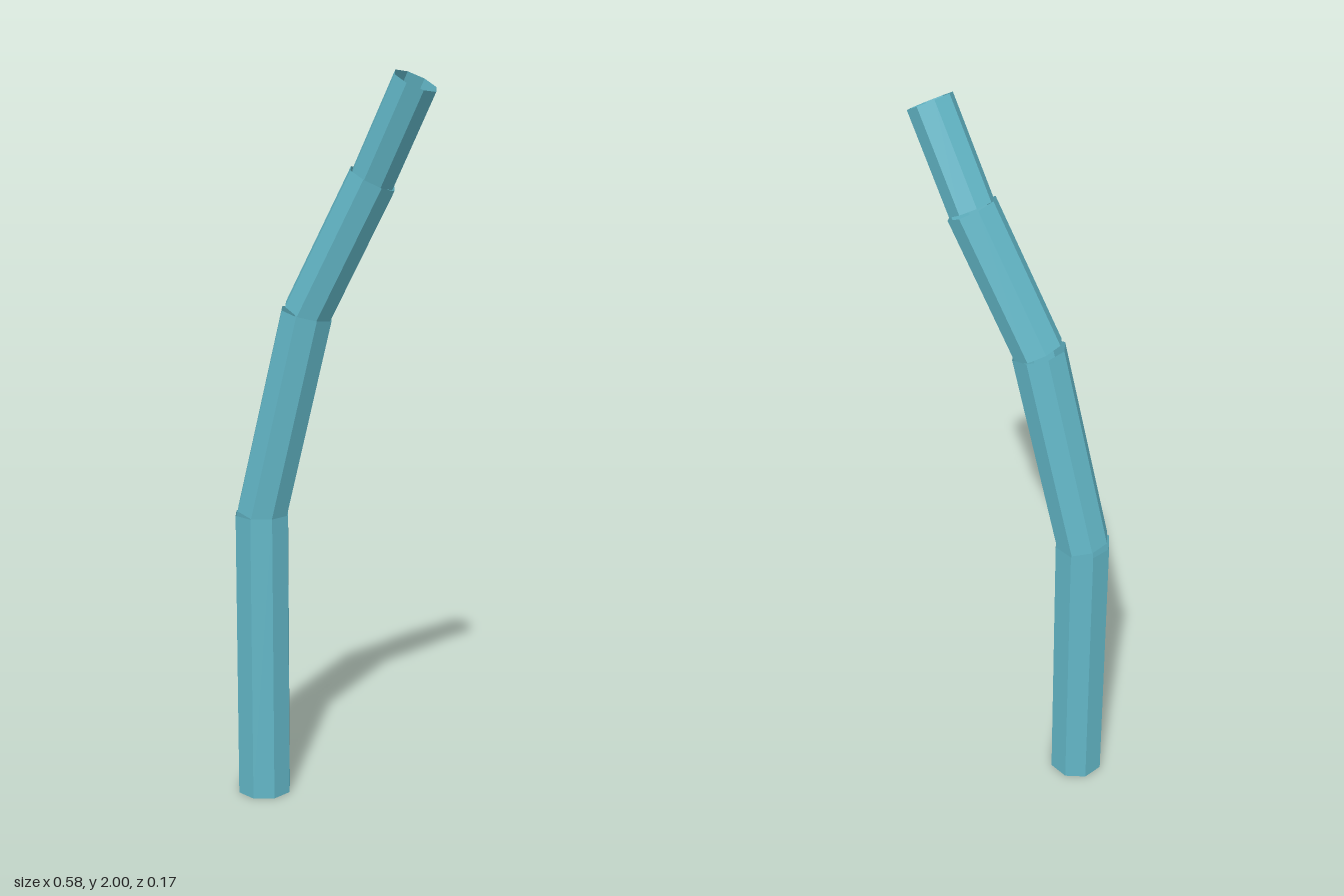
import * as THREE from 'three';

export function createModel() {
  const group = new THREE.Group();
  group.name = 'bentStalk';

  const material = new THREE.MeshStandardMaterial({
    color: 0x62b6c6,
    flatShading: true,
    side: THREE.DoubleSide,
  });

  // Joints along the stalk, from the ground to the tip
  const joints = [
    [-0.21, 0, -0.007],
    [-0.21, 0.815, -0.007],
    [-0.074, 1.374, -0.007],
    [0.11, 1.73, -0.007],
    [0.234, 1.973, 0.024],
  ].map((p) => new THREE.Vector3(...p));

  // One open octagonal tube per section, each thinner than the one below
  const sections = [
    ['baseSection', 0.0775],
    ['lowerSection', 0.0727],
    ['upperSection', 0.067],
    ['tipSection', 0.0605],
  ];

  sections.forEach(([name, radius], i) => {
    const start = joints[i];
    const axis = joints[i + 1].clone().sub(start);
    const length = axis.length();
    const geometry = new THREE.CylinderGeometry(radius, radius, length, 8, 1, true);
    geometry.translate(0, length / 2, 0);

    const tube = new THREE.Mesh(geometry, material);
    tube.name = name;
    tube.position.copy(start);
    // Lean sideways about z, with a slight forward tilt first
    tube.rotation.set(Math.asin(axis.z / length), 0, -Math.atan2(axis.x, axis.y), 'ZYX');
    group.add(tube);
  });

  return group;
}
